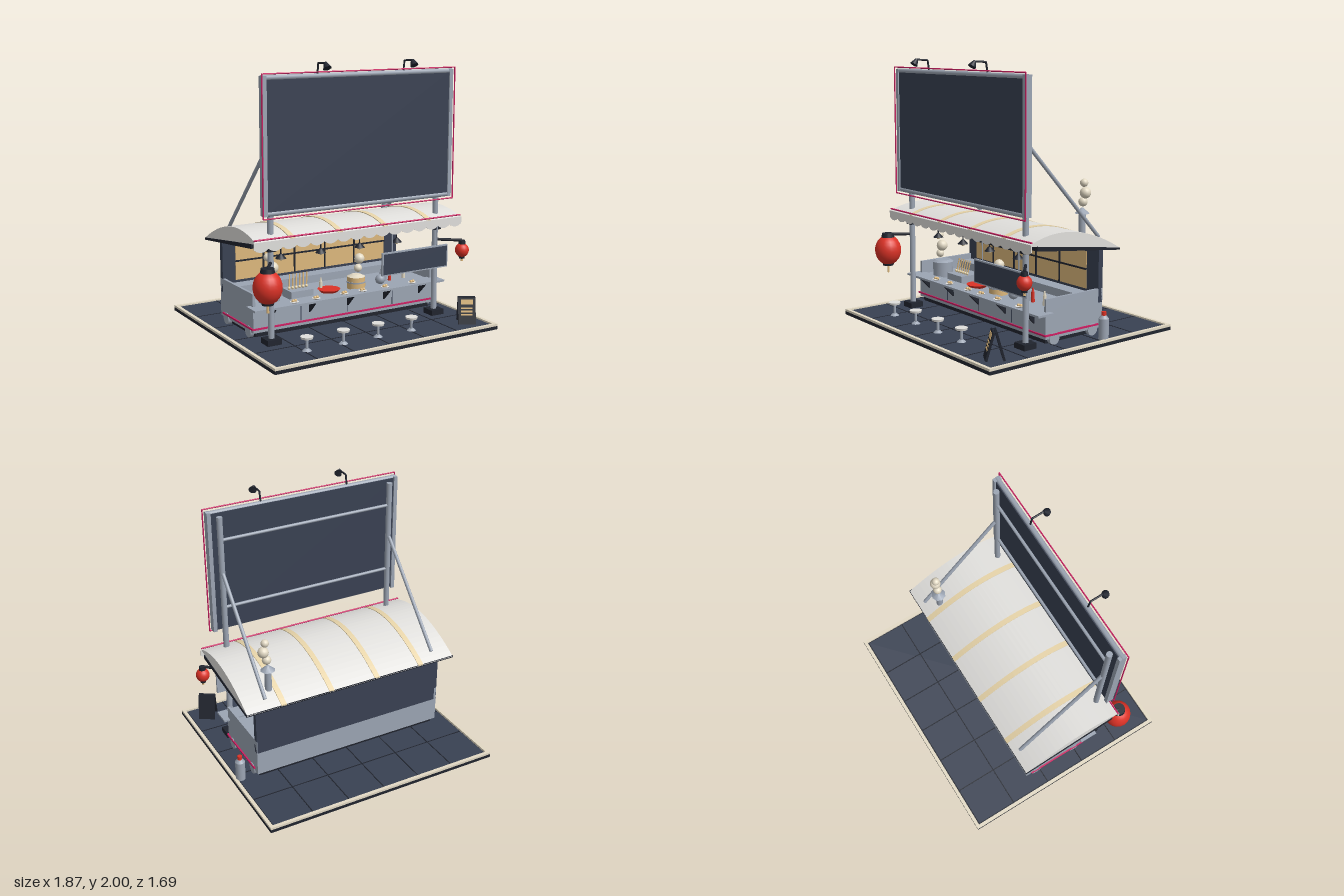
import * as THREE from 'three';

const mat = (name, color, side = THREE.FrontSide) => {
  const m = new THREE.MeshStandardMaterial({ color, side });
  m.name = name;
  return m;
};

export function createModel() {
  const model = new THREE.Group();
  model.name = 'foodStall';
  const navy = mat('navy', 0x394152), black = mat('black', 0x20242e), steel = mat('steel', 0x9ca5b3),
    white = mat('white', 0xe0dfdc), cream = mat('cream', 0xe2d9c4), trim = mat('trim', 0xe6d3a8),
    tan = mat('tan', 0xddb87c), red = mat('red', 0xdc3226), pink = mat('pink', 0xcc1f62);

  const add = (name, geo, m, x = 0, y = 0, z = 0, parent = model) => {
    const mesh = new THREE.Mesh(geo, m);
    mesh.name = name;
    mesh.position.set(x, y, z);
    parent.add(mesh);
    return mesh;
  };
  // box given by its limits
  const box = (name, m, x0, x1, y0, y1, z0, z1, parent) =>
    add(name, new THREE.BoxGeometry(x1 - x0, y1 - y0, z1 - z0), m, (x0 + x1) / 2, (y0 + y1) / 2, (z0 + z1) / 2, parent);
  const cyl = (name, m, rTop, rBottom, y0, y1, x, z, sides = 16, parent) =>
    add(name, new THREE.CylinderGeometry(rTop, rBottom, y1 - y0, sides), m, x, (y0 + y1) / 2, z, parent);
  const ball = (name, m, r, x, y, z, parent) => add(name, new THREE.SphereGeometry(r, 14, 10), m, x, y, z, parent);
  // round bar between two points
  const bar = (name, m, r, a, b, parent) => {
    const p = new THREE.Vector3(...a), q = new THREE.Vector3(...b), d = q.clone().sub(p);
    const mesh = add(name, new THREE.CylinderGeometry(r, r, d.length(), 10), m, 0, 0, 0, parent);
    mesh.position.copy(p).add(q).multiplyScalar(0.5);
    mesh.quaternion.setFromUnitVectors(new THREE.Vector3(0, 1, 0), d.normalize());
    return mesh;
  };
  // (z, y) profile drawn out along x
  const alongX = (shape, width) => {
    const g = new THREE.ExtrudeGeometry(shape, { depth: width, bevelEnabled: false, curveSegments: 20 });
    return g.rotateY(-Math.PI / 2).translate(width / 2, 0, 0);
  };
  const poly = pts => new THREE.Shape(pts.map(p => new THREE.Vector2(...p)));

  // Ground slab with rim and tile joints
  box('groundSlab', black, -0.935, 0.935, 0, 0.025, -0.845, 0.845);
  box('groundTiles', navy, -0.9, 0.9, 0.025, 0.034, -0.81, 0.81);
  for (const s of [-1, 1]) {
    box('rimSide', cream, s * 0.922 - 0.013, s * 0.922 + 0.013, 0.025, 0.042, -0.845, 0.845);
    box('rimEnd', cream, -0.935, 0.935, 0.025, 0.042, s * 0.832 - 0.013, s * 0.832 + 0.013);
  }
  for (let i = -2; i <= 2; i++) box('tileJoint', black, i * 0.295 - 0.004, i * 0.295 + 0.004, 0.03, 0.036, -0.81, 0.81);
  for (const z of [-0.49, -0.164, 0.164, 0.49]) box('tileJoint', black, -0.9, 0.9, 0.03, 0.036, z - 0.004, z + 0.004);

  // Cart body
  box('skirting', black, -0.76, 0.75, 0.05, 0.09, -0.27, 0.22);
  box('counterBody', steel, -0.785, 0.775, 0.085, 0.27, -0.295, 0.24);
  box('pinkStripFront', pink, -0.785, 0.785, 0.108, 0.12, 0.24, 0.25);
  for (const x of [-0.79, 0.78]) box('pinkStripSide', pink, x - 0.006, x + 0.006, 0.108, 0.12, -0.25, 0.25);
  for (const x of [-0.4, 0, 0.4]) box('panelJoint', navy, x - 0.003, x + 0.003, 0.125, 0.255, 0.239, 0.242);
  for (const x of [-0.775, 0.765]) box('sideWall', steel, x - 0.01, x + 0.01, 0.27, 0.372, -0.295, 0.235);
  for (const x of [-0.74, 0.73]) for (const z of [0.16, -0.2])
    add('wheel', new THREE.CylinderGeometry(0.045, 0.045, 0.1, 16).rotateZ(Math.PI / 2), steel, x, 0.083, z);
  box('servingShelf', steel, -0.82, 0.82, 0.265, 0.28, 0.2, 0.34);
  for (const x of [-0.65, -0.325, 0, 0.325, 0.65])
    add('shelfBracket', alongX(poly([[0.24, 0.175], [0.33, 0.265], [0.24, 0.265]]), 0.016), black, x);

  // Back wall with lit lattice window
  box('backWall', navy, -0.785, 0.775, 0.27, 0.7, -0.295, -0.255);
  box('window', tan, -0.68, 0.65, 0.35, 0.625, -0.256, -0.25);
  for (const x of [-0.45, -0.18, 0.09, 0.36]) box('windowBar', black, x - 0.006, x + 0.006, 0.35, 0.625, -0.251, -0.242);
  box('windowBar', black, -0.68, 0.65, 0.489, 0.501, -0.251, -0.242);
  box('backShelf', steel, -0.76, 0.75, 0.27, 0.33, -0.255, -0.14);

  // Arched roof, dark underside, ribs
  const arch = (lift) => {
    const s = new THREE.Shape();
    s.moveTo(0.455, 0.785);
    s.lineTo(0.455, 0.795 + lift);
    s.quadraticCurveTo(0.09, 0.943 + lift, -0.365, 0.675 + lift);
    s.lineTo(-0.365, 0.667);
    s.closePath();
    return s;
  };
  add('roof', alongX(arch(0), 1.74), white);
  for (const x of [-0.58, -0.195, 0.19, 0.58]) add('roofRib', alongX(arch(0.005), 0.042), trim, x);
  add('roofUnderside', alongX(poly([[0.4, 0.745], [0.4, 0.778], [-0.365, 0.676], [-0.365, 0.66]]), 1.75), black);
  bar('roofPinkTube', pink, 0.006, [-0.875, 0.808, 0.448], [0.875, 0.808, 0.448]);
  const scallop = new THREE.Shape();
  scallop.moveTo(-0.88, 0.795);
  scallop.lineTo(-0.88, 0.745);
  const n = 16, w = 1.76 / n;
  for (let i = 0; i < n; i++) scallop.quadraticCurveTo(-0.88 + (i + 0.5) * w, 0.7, -0.88 + (i + 1) * w, 0.745);
  scallop.lineTo(0.88, 0.795);
  add('valance', new THREE.ExtrudeGeometry(scallop, { depth: 0.008, bevelEnabled: false, curveSegments: 6 }), white, 0, 0, 0.45);

  // Posts, back rails and braces
  for (const x of [-0.705, 0.705]) {
    cyl('post', steel, 0.022, 0.022, 0.04, 1.88, x, 0.36);
    box('postFoot', black, x - 0.055, x + 0.055, 0.034, 0.075, 0.305, 0.415);
    box('postCollar', black, x - 0.032, x + 0.032, 0.7, 0.755, 0.33, 0.392);
    bar('brace', steel, 0.014, [x, 1.44, 0.345], [x, 0.735, -0.315]);
  }
  for (const y of [1.16, 1.7]) bar('backRail', steel, 0.012, [-0.705, y, 0.36], [0.705, y, 0.36]);

  // Billboard
  const sign = new THREE.Group();
  sign.name = 'billboard';
  model.add(sign);
  box('billboardPanel', navy, -0.775, 0.775, 0.97, 1.9, 0.39, 0.428, sign);
  for (const s of [-1, 1]) {
    box('frameSide', steel, s * 0.775 - 0.015, s * 0.775 + 0.015, 0.96, 1.91, 0.38, 0.437, sign);
    bar('pinkSide', pink, 0.005, [s * 0.8, 0.945, 0.442], [s * 0.8, 1.925, 0.442], sign);
  }
  for (const y of [0.975, 1.897]) bar('frameRail', steel, 0.019, [-0.79, y, 0.415], [0.79, y, 0.415], sign);
  for (const y of [0.945, 1.925]) bar('pinkRail', pink, 0.005, [-0.8, y, 0.442], [0.8, y, 0.442], sign);
  for (const x of [-0.36, 0.355]) {
    bar('lampArm', black, 0.007, [x, 1.9, 0.415], [x, 1.985, 0.43], sign);
    bar('lampArm', black, 0.007, [x, 1.985, 0.43], [x, 1.99, 0.52], sign);
    const head = cyl('lampHead', black, 0.01, 0.03, 1.95, 1.998, x, 0.537, 12, sign);
    head.rotation.x = -0.6;
  }

  // Lanterns on arms
  const lantern = (x, y, z, r, h, postX) => {
    const pts = [];
    for (let i = 0; i <= 10; i++) {
      const a = -1.15 + 0.23 * i;
      pts.push(new THREE.Vector2(r * Math.cos(a), h * Math.sin(a) / Math.sin(1.15)));
    }
    add('lanternShade', new THREE.LatheGeometry(pts, 20), red, x, y, z);
    cyl('lanternCap', black, r * 0.45, r * 0.5, y + h - 0.005, y + h + 0.025, x, z);
    cyl('lanternBase', black, r * 0.45, r * 0.4, y - h - 0.015, y - h + 0.005, x, z);
    cyl('tassel', tan, 0.008, 0.01, y - h - r * 0.7, y - h - 0.01, x, z, 8);
    bar('lanternArm', black, 0.011, [postX, 0.62, 0.36], [x, 0.62, z]);
    bar('lanternHook', black, 0.005, [x, 0.62, z], [x, y + h, z]);
  };
  lantern(-0.813, 0.495, 0.52, 0.103, 0.108, -0.705);
  lantern(0.86, 0.545, 0.498, 0.053, 0.05, 0.705);

  // Hanging menu board
  box('menuFrame', steel, 0.19, 0.785, 0.408, 0.582, 0.4, 0.418);
  box('menuFace', navy, 0.2, 0.775, 0.418, 0.572, 0.415, 0.422);
  for (const x of [0.28, 0.69]) bar('menuHanger', steel, 0.005, [x, 0.58, 0.409], [x, 0.77, 0.409]);

  // Pendant lamps
  for (const x of [-0.55, -0.22, 0.115, 0.45]) {
    cyl('pendantShade', black, 0.01, 0.04, 0.6, 0.632, x, 0.22);
    bar('pendantCord', black, 0.004, [x, 0.63, 0.22], [x, 0.75, 0.22]);
    ball('pendantBulb', trim, 0.014, x, 0.598, 0.22);
  }

  // Chimney and steam puffs
  cyl('chimney', steel, 0.026, 0.026, 0.68, 0.91, 0.633, -0.22);
  cyl('chimneyCap', steel, 0.008, 0.055, 0.905, 0.945, 0.633, -0.22, 8);
  const puffs = list => list.forEach(([x, y, z, r]) => ball('steamPuff', cream, r, x, y, z));
  puffs([[0.64, 0.99, -0.22, 0.034], [0.665, 1.058, -0.22, 0.041], [0.65, 1.128, -0.22, 0.03],
    [-0.612, 0.455, 0.16, 0.031], [-0.585, 0.522, 0.16, 0.043], [-0.622, 0.603, 0.155, 0.03],
    [0.14, 0.425, 0.16, 0.031], [0.152, 0.497, 0.16, 0.039]]);

  // Cooking gear on the counter
  cyl('stockPot', steel, 0.078, 0.078, 0.27, 0.39, -0.605, 0.14, 24);
  cyl('potLid', steel, 0.06, 0.084, 0.39, 0.405, -0.605, 0.14, 24);
  box('grill', steel, -0.455, -0.27, 0.27, 0.33, 0.06, 0.2);
  for (let i = 0; i < 6; i++) {
    const x = -0.435 + i * 0.029;
    bar('skewer', tan, 0.005, [x, 0.325, 0.13], [x + 0.015, 0.44, 0.11]);
    ball('skewerFood', trim, 0.011, x, 0.342, 0.13);
  }
  cyl('redDish', red, 0.085, 0.06, 0.275, 0.3, -0.115, 0.16, 20);
  cyl('steamer', tan, 0.07, 0.07, 0.27, 0.315, 0.13, 0.15, 20);
  cyl('steamerTier', steel, 0.073, 0.073, 0.315, 0.325, 0.13, 0.15, 20);
  cyl('steamerTop', tan, 0.068, 0.068, 0.325, 0.36, 0.13, 0.15, 20);
  cyl('steamerLid', cream, 0.03, 0.068, 0.36, 0.378, 0.13, 0.15, 20);
  ball('kettle', steel, 0.038, 0.335, 0.312, 0.17);
  [[-0.15, cream], [0.39, steel], [0.425, steel], [0.47, red], [0.6, cream]].forEach(([x, m]) => {
    cyl('bottle', m, 0.012, 0.014, 0.27, 0.345, x, 0.1, 10);
    cyl('bottleNeck', m, 0.005, 0.01, 0.345, 0.375, x, 0.1, 10);
  });
  for (const x of [-0.48, -0.3, -0.06, 0.1, 0.3, 0.55]) {
    cyl('plate', white, 0.032, 0.022, 0.28, 0.288, x, 0.29, 14);
    ball('snack', tan, 0.012, x - 0.01, 0.293, 0.29);
    ball('snack', tan, 0.012, x + 0.012, 0.293, 0.285);
  }

  // Stools
  for (const x of [-0.567, -0.272, 0.02, 0.312]) {
    cyl('stoolSeat', white, 0.046, 0.042, 0.122, 0.138, x, 0.62, 18);
    cyl('stoolStem', steel, 0.01, 0.01, 0.04, 0.122, x, 0.62, 10);
    cyl('stoolFoot', steel, 0.016, 0.034, 0.034, 0.05, x, 0.62, 14);
  }

  // Folding pavement sign
  const board = new THREE.Group();
  board.name = 'pavementSign';
  board.position.set(0.77, 0.036, 0.68);
  board.rotation.y = -0.55;
  model.add(board);
  for (const s of [-1, 1]) {
    const leaf = new THREE.Group();
    leaf.name = 'signLeaf';
    leaf.position.z = s * 0.035;
    leaf.position.y = 0.1;
    leaf.rotation.x = -s * 0.27;
    board.add(leaf);
    box('leafPanel', black, -0.065, 0.065, -0.1, 0.1, -0.008, 0.008, leaf);
    if (s > 0) {
      box('leafCard', tan, -0.045, 0.045, 0.045, 0.085, 0.007, 0.011, leaf);
      for (const y of [0.02, -0.005, -0.03]) box('leafLine', tan, -0.045, 0.04, y - 0.006, y + 0.006, 0.007, 0.011, leaf);
    }
  }

  // Gas bottle
  cyl('gasBottle', steel, 0.037, 0.037, 0.034, 0.185, 0.88, -0.212, 18);
  cyl('gasShoulder', steel, 0.018, 0.037, 0.185, 0.208, 0.88, -0.212, 18);
  cyl('gasValve', red, 0.018, 0.018, 0.208, 0.235, 0.88, -0.212, 12);
  return model;
}
